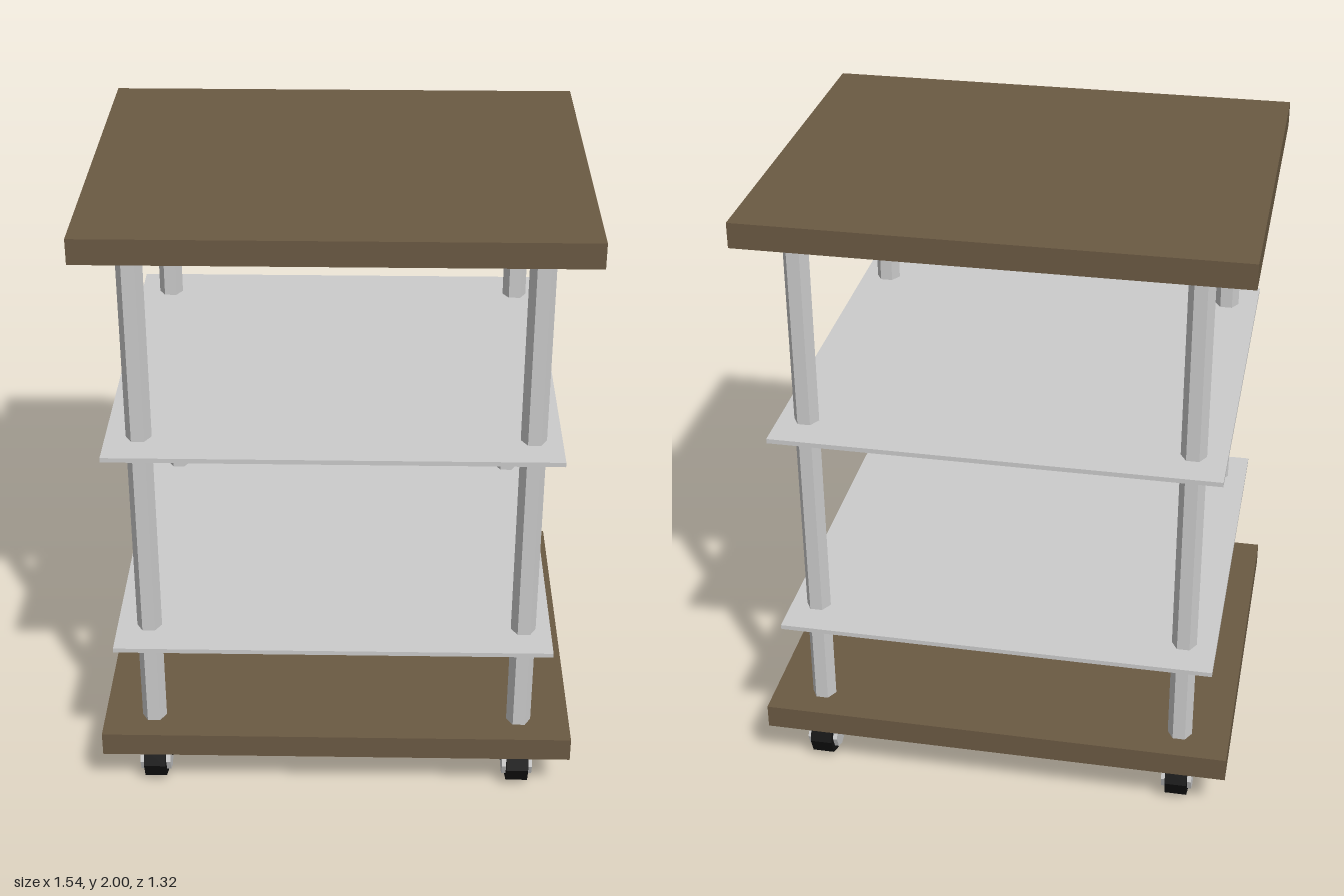
import * as THREE from 'three';

const wood = new THREE.MeshStandardMaterial({ color: 0x6b5a43, flatShading: true });
const metal = new THREE.MeshStandardMaterial({ color: 0xcccccc, flatShading: true });
const rubber = new THREE.MeshStandardMaterial({ color: 0x111111, flatShading: true });

function add(parent, name, geometry, material, x = 0, y = 0, z = 0) {
  const mesh = new THREE.Mesh(geometry, material);
  mesh.name = name;
  mesh.position.set(x, y, z);
  parent.add(mesh);
  return mesh;
}

// Eight-sided caster wheel with its axle along x
function createWheel() {
  const wheel = new THREE.Group();
  const disc = (name, radius, width, material, sides = 8) =>
    add(wheel, name, new THREE.CylinderGeometry(radius, radius, width, sides).rotateZ(Math.PI / 2), material);
  disc('tire', 0.08, 0.072, rubber);
  disc('hub', 0.058, 0.1, metal);
  disc('axle', 0.013, 0.11, rubber);
  return wheel;
}

export function createModel() {
  const cart = new THREE.Group();
  cart.name = 'shelfCart';

  // Thick wooden boards at the base and the top
  const board = new THREE.BoxGeometry(1.536, 0.08, 1.28);
  add(cart, 'baseBoard', board, wood, 0, 0.197, 0);
  add(cart, 'topBoard', board, wood, 0, 1.96, 0);

  // Thin metal shelves, set slightly to one side
  const shelf = new THREE.BoxGeometry(1.398, 0.015, 1.324);
  add(cart, 'lowerShelf', shelf, metal, -0.009, 0.591, 0);
  add(cart, 'upperShelf', shelf, metal, -0.009, 1.29, 0);

  // Hexagonal posts and wheels at the four corners
  const post = new THREE.CylinderGeometry(0.04, 0.04, 1.683, 6).rotateY(Math.PI / 2);
  for (const [xName, x] of [['Left', 0.602], ['Right', -0.605]]) {
    for (const [zName, z] of [['front', 0.526], ['back', -0.522]]) {
      add(cart, `${zName}${xName}Post`, post, metal, x, 1.0785, z);
      const wheel = createWheel();
      wheel.name = `${zName}${xName}Wheel`;
      wheel.position.set(x, 0.08, z);
      cart.add(wheel);
    }
  }
  return cart;
}
